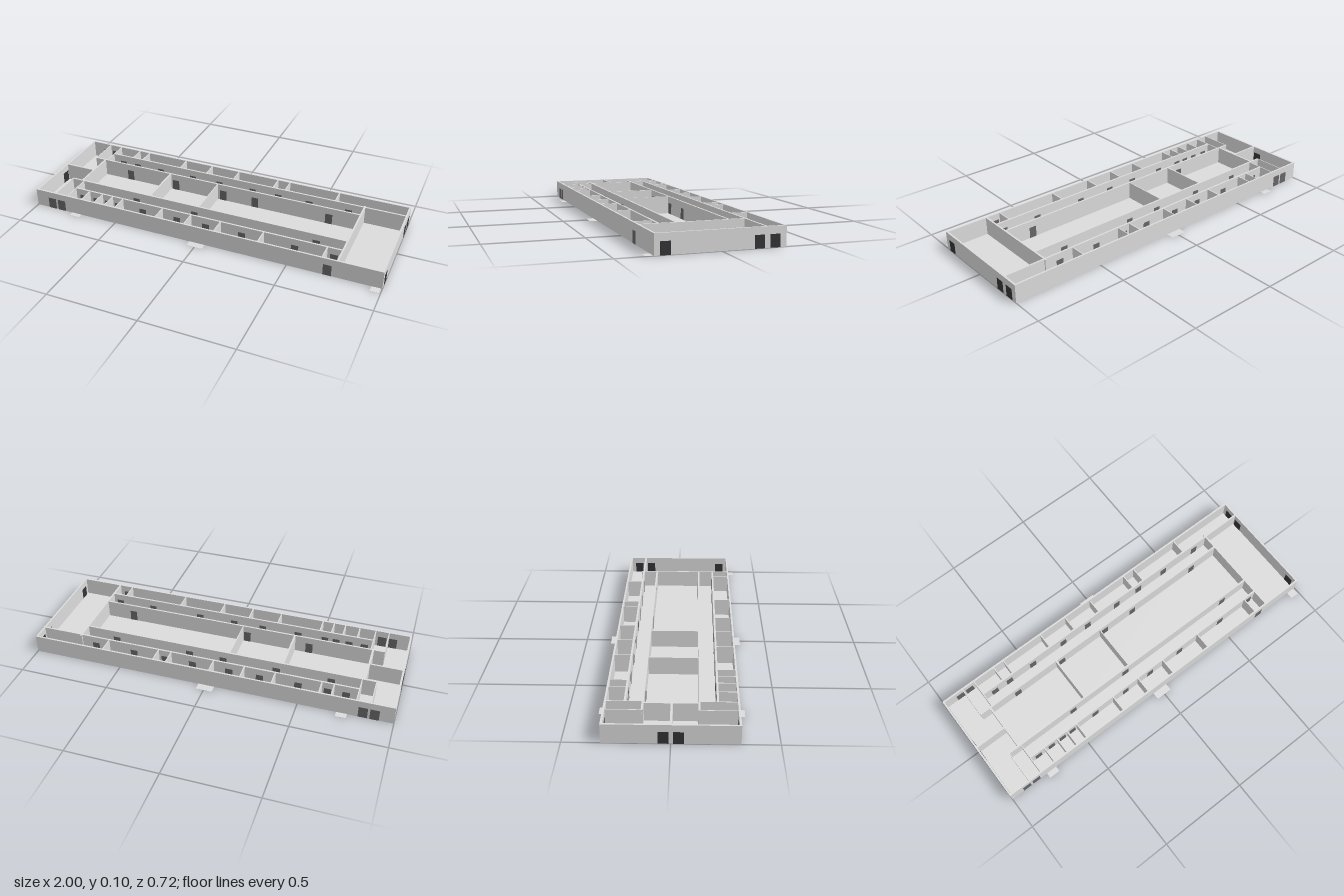
import * as THREE from 'three';

export function createModel() {
  const model = new THREE.Group();
  function paint(name, color) {
    const material = new THREE.MeshStandardMaterial({ color });
    material.name = name;
    return material;
  }
  const grey = paint('pale grey', 0xdcdcdc);
  const mid = paint('slate grey', 0x68686b);
  const dark = paint('dark charcoal', 0x343436);

  const H = 0.1, T = 0.01, THIN = 0.005, DOOR_H = 0.063, DOOR_W = 0.05;
  const BACK = -0.32, FRONT = 0.32, PROUD = 0.0058;

  function group(name) {
    const g = new THREE.Group();
    g.name = name;
    model.add(g);
    return g;
  }
  function block(parent, name, material, x0, x1, y0, y1, z0, z1) {
    const mesh = new THREE.Mesh(new THREE.BoxGeometry(x1 - x0, y1 - y0, z1 - z0), material);
    mesh.position.set((x0 + x1) / 2, (y0 + y1) / 2, (z0 + z1) / 2);
    mesh.name = name;
    parent.add(mesh);
  }
  // Walls running along x or along z
  const wallX = (g, name, z, x0, x1, t = T) =>
    block(g, name, grey, x0, x1, 0, H, z - t / 2, z + t / 2);
  const wallZ = (g, name, x, z0, z1, t = T) =>
    block(g, name, grey, x - t / 2, x + t / 2, 0, H, z0, z1);
  // Doors pass through the wall and stand just proud of both faces
  const doorX = (g, x, z, w = DOOR_W) =>
    block(g, 'door', mid, x - w / 2, x + w / 2, 0, DOOR_H, z - PROUD, z + PROUD);
  const doorZ = (g, x, z, w = DOOR_W) =>
    block(g, 'endDoor', dark, x - PROUD, x + PROUD, 0, DOOR_H, z - w / 2, z + w / 2);

  // Floor slab
  block(model, 'floor', grey, -0.995, 0.995, 0.0005, 0.002, BACK + 0.005, FRONT - 0.005);

  // Outer walls
  const outer = group('outerWalls');
  wallX(outer, 'backWall', BACK + T / 2, -1, 1);
  wallX(outer, 'frontWall', FRONT - T / 2, -1, 1);
  for (const s of [-1, 1]) wallZ(outer, 'endWall', s * (1 - T / 2), BACK + T, FRONT - T);

  // Corridor walls and cross walls
  const inner = group('corridorWalls');
  wallX(inner, 'backRoomWall', -0.222, -0.8, 0.99);
  wallX(inner, 'backCorridorWall', -0.137, -0.875, 0.762);
  wallX(inner, 'frontCorridorWall', 0.13, -0.875, 0.762);
  wallX(inner, 'frontRoomWall', 0.217, -0.8, 0.762);
  wallX(inner, 'entryDivider', 0, -0.99, -0.815);
  wallZ(inner, 'hallEndWall', 0.764, -0.235, FRONT - T);
  wallZ(inner, 'hallEndWall', -0.813, -0.137, 0.13);
  wallZ(inner, 'hallDivider', -0.375, -0.137, 0.13);
  wallZ(inner, 'hallDivider', -0.075, -0.137, 0.13, THIN);
  for (const x of [-0.875, -0.8]) {
    wallZ(inner, 'stairWall', x, BACK + T, -0.137, THIN);
    wallZ(inner, 'stairWall', x, 0.13, FRONT - T, THIN);
  }

  // Rows of small rooms, each with one door onto its corridor
  const rooms = group('roomPartitions');
  const doors = group('doors');
  function roomRow(xs, wallZPos, outerZ, end) {
    const z0 = Math.min(wallZPos, outerZ), z1 = Math.max(wallZPos, outerZ);
    for (const x of xs) wallZ(rooms, 'partition', x, z0, z1, 0.006);
    const edges = [-0.8, ...xs, end];
    for (let i = 0; i < edges.length - 1; i++) {
      const w = Math.min(0.04, (edges[i + 1] - edges[i]) * 0.6);
      doorX(doors, (edges[i] + edges[i + 1]) / 2, wallZPos, w);
    }
  }
  roomRow([-0.67, -0.605, -0.355, -0.185, -0.013, 0.23, 0.303, 0.597], -0.222, BACK + T, 0.76);
  roomRow([-0.71, -0.628, -0.563, -0.498, -0.252, -0.081, 0.092, 0.338, 0.683], 0.217, FRONT - T, 0.76);

  // Doors of the central halls
  for (const x of [-0.64, -0.34, -0.04, 0.155, 0.59]) doorX(doors, x, -0.137, 0.04);
  for (const x of [-0.46, -0.1, 0.6]) doorX(doors, x, 0.13, 0.04);

  // Outside doors
  for (const x of [-0.9, -0.84]) {
    doorX(doors, x, FRONT - T / 2, 0.048);
    doorX(doors, x, BACK + T / 2, 0.048);
  }
  doorX(doors, 0.715, FRONT - T / 2, 0.045);
  for (const z of [0.266, -0.186, -0.264]) doorZ(doors, 0.995, z);
  for (const z of [0.035, -0.035]) doorZ(doors, -0.995, z);

  // Flat doorsteps outside the long walls: x from, x to, outer z
  const steps = group('doorsteps');
  for (const [x0, x1, z] of [
    [-0.775, -0.715, 0.35], [-0.047, 0.043, 0.36], [0.945, 0.992, 0.36],
    [-0.762, -0.705, -0.353], [-0.047, 0.043, -0.363],
  ]) {
    block(steps, 'doorstep', grey, x0, x1, 0, 0.0005, z > 0 ? FRONT : z, z > 0 ? z : BACK);
  }
  return model;
}
